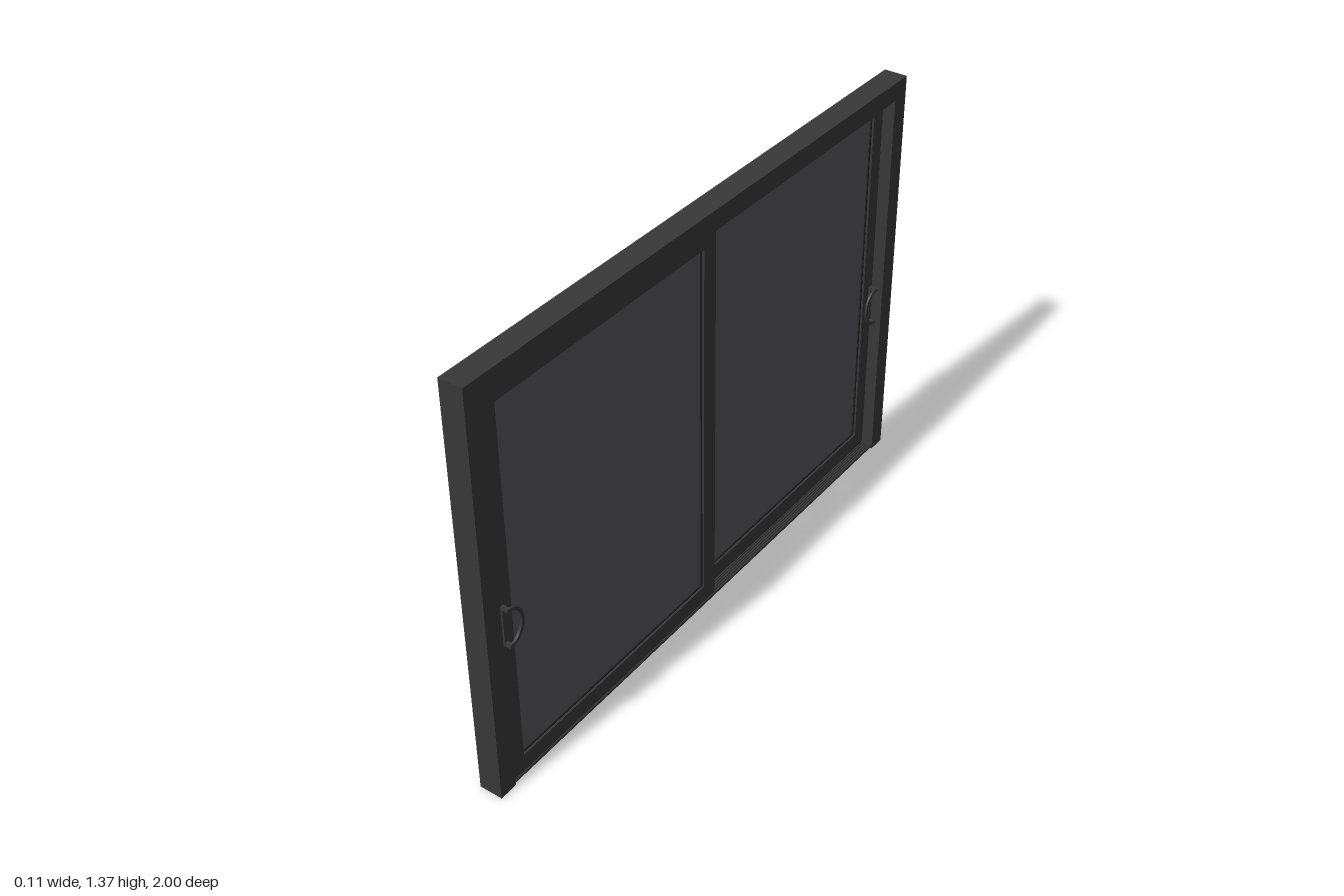
import * as THREE from 'three';

const frameMat = new THREE.MeshStandardMaterial({ color: 0x383838 });
const sealMat = new THREE.MeshStandardMaterial({ color: 0x1c1c1c });
const glassMat = new THREE.MeshStandardMaterial({ color: 0x555358 });

// Box given by its min and max on each axis
function box(parent, name, x0, x1, y0, y1, z0, z1, mat = frameMat) {
  const mesh = new THREE.Mesh(new THREE.BoxGeometry(x1 - x0, y1 - y0, z1 - z0), mat);
  mesh.position.set((x0 + x1) / 2, (y0 + y1) / 2, (z0 + z1) / 2);
  mesh.name = name;
  parent.add(mesh);
}

// Rectangular ring in the z-y plane, extruded along x
function ring(parent, name, x0, x1, outer, inner, mat) {
  const rect = (Type, [z0, z1, y0, y1]) => new Type([
    new THREE.Vector2(-z0, y0), new THREE.Vector2(-z0, y1),
    new THREE.Vector2(-z1, y1), new THREE.Vector2(-z1, y0)]);
  const shape = rect(THREE.Shape, outer);
  shape.holes.push(rect(THREE.Path, inner));
  const geo = new THREE.ExtrudeGeometry(shape, { depth: x1 - x0, bevelEnabled: false });
  geo.rotateY(Math.PI / 2);
  geo.translate(x0, 0, 0);
  const mesh = new THREE.Mesh(geo, mat);
  mesh.name = name;
  parent.add(mesh);
}

// D-shaped pull: plate, two posts and a flat curved grip; sits on x = 0, faces +x
function makeHandle() {
  const g = new THREE.Group();
  g.name = 'handle';
  const r = 0.067, depth = 0.055;
  box(g, 'handlePlate', 0, 0.006, -r, r, -0.006, 0.006);
  for (const s of [-1, 1]) {
    const y = s * (r - 0.005);
    box(g, 'handlePost', 0, 0.025, y - 0.005, y + 0.005, -0.006, 0.006);
  }
  const arc = new THREE.Shape();
  arc.absellipse(0, 0, depth, r, -Math.PI / 2, Math.PI / 2, false);
  arc.lineTo(0, r - 0.01);
  arc.absellipse(0, 0, depth - 0.011, r - 0.011, Math.PI / 2, -Math.PI / 2, true);
  arc.closePath();
  const geo = new THREE.ExtrudeGeometry(arc, { depth: 0.007, bevelEnabled: false, curveSegments: 20 });
  geo.rotateY(Math.PI / 2);
  geo.translate(0.018, 0, 0);
  const grip = new THREE.Mesh(geo, frameMat);
  grip.name = 'handleGrip';
  g.add(grip);
  return g;
}

// One sliding panel in the +x track, covering the +z half
function makeSash() {
  const g = new THREE.Group();
  g.name = 'sash';
  const x0 = 0.002, x1 = 0.03, mid = (x0 + x1) / 2;
  const opening = [0.038, 0.89, 0.07, 1.265];
  const bead = [0.042, 0.886, 0.074, 1.261];
  ring(g, 'sashFrame', x0, x1, [-0.017, 0.942, 0.012, 1.318], opening, frameMat);
  ring(g, 'glassSeal', mid - 0.007, mid + 0.007, opening, bead, sealMat);
  box(g, 'glass', mid - 0.003, mid + 0.003, bead[2], bead[3], bead[0], bead[1], glassMat);

  // Handles on both faces
  const outside = makeHandle();
  outside.position.set(x1, 0.58, 0.926);
  const inside = makeHandle();
  inside.scale.x = -1;
  inside.position.set(x0, 0.58, 0.926);
  g.add(outside, inside);
  return g;
}

export function createModel() {
  const model = new THREE.Group();
  model.name = 'slidingWindow';
  const w = 0.038;

  // Side jambs
  for (const s of [-1, 1]) {
    box(model, 'jamb', -w, w, 0, 1.31, s > 0 ? 0.94 : -1, s > 0 ? 1 : -0.94);
  }

  // Head with two sash channels
  box(model, 'head', -w, w, 1.33, 1.37, -1, 1);
  box(model, 'headLip', 0.031, w, 1.31, 1.33, -1, 1);
  box(model, 'headLip', -w, -0.031, 1.31, 1.33, -1, 1);
  box(model, 'headDivider', -0.0015, 0.0015, 1.31, 1.33, -0.94, 0.94);
  for (const s of [-1, 1]) {
    box(model, 'headEnd', -0.031, 0.031, 1.31, 1.33, s > 0 ? 0.94 : -1, s > 0 ? 1 : -0.94);
  }

  // Sill with fine ridges along the tracks
  box(model, 'sill', -0.034, 0.034, 0.003, 0.008, -0.94, 0.94);
  for (let i = -4; i <= 4; i++) {
    const x = i * 0.008;
    box(model, 'sillRidge', x - 0.0015, x + 0.0015, 0.008, 0.012, -0.94, 0.94);
  }

  // Two panels, one turned half round into the other track
  const front = makeSash();
  const rear = makeSash();
  rear.rotation.y = Math.PI;
  model.add(front, rear);
  return model;
}
